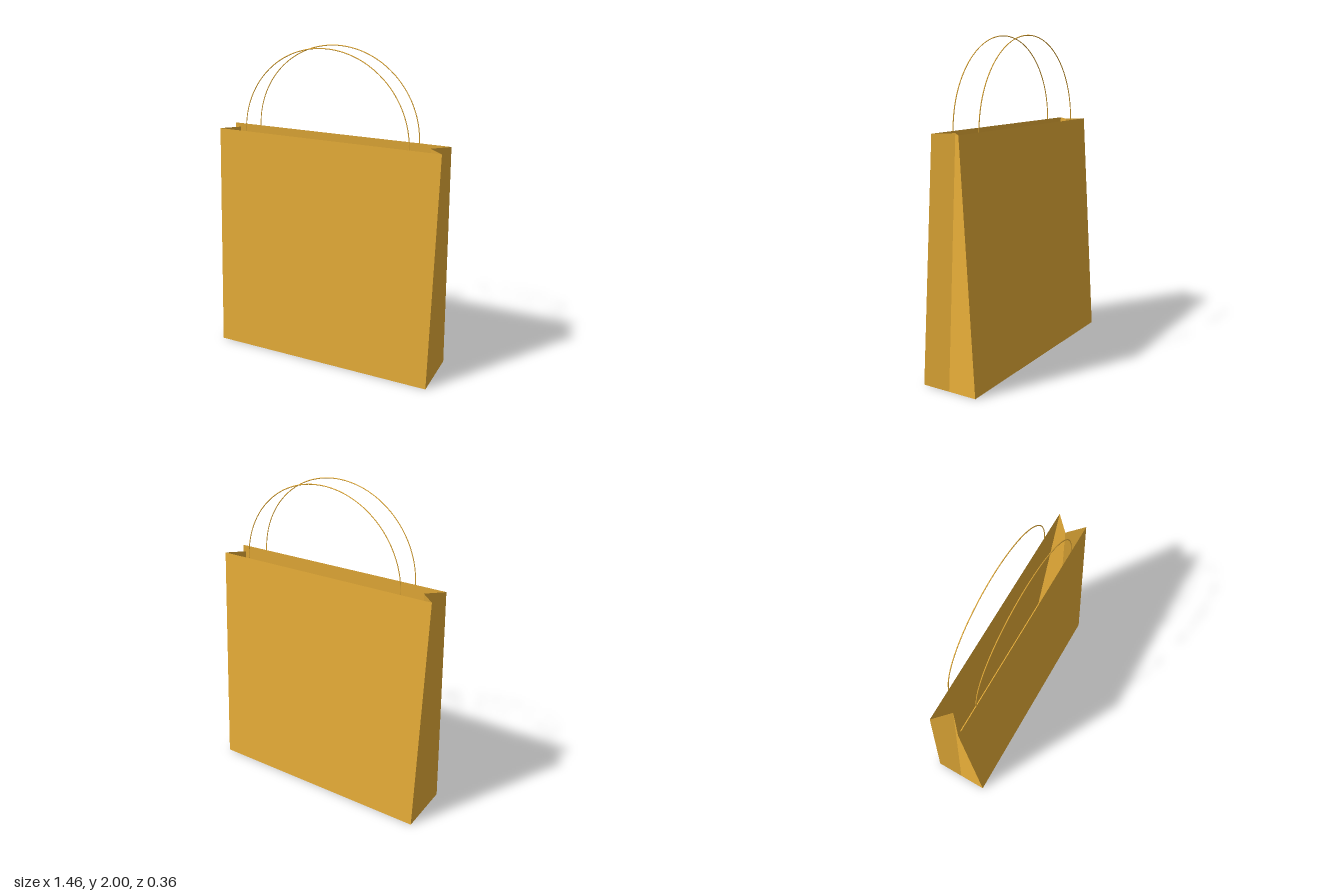
import * as THREE from 'three';

const W = 0.73, H = 1.46, BASE = 0.18, MOUTH = 0.09, FOLD = 0.635;

// Flat-shaded paper panel from four corners, counter-clockwise from outside, folded along a-c
function panel(name, material, a, b, c, d) {
  const [A, B, C, D] = [a, b, c, d].map((p) => new THREE.Vector3(...p));
  const n = C.clone().sub(A).cross(D.clone().sub(B)).normalize();
  const g = new THREE.BufferGeometry().setFromPoints([A, B, C, D]);
  g.setAttribute('normal', new THREE.Float32BufferAttribute([n, n, n, n].flatMap((v) => v.toArray()), 3));
  g.setIndex([0, 1, 2, 0, 2, 3]);
  const mesh = new THREE.Mesh(g, material);
  mesh.name = name;
  return mesh;
}

export function createModel() {
  const bag = new THREE.Group();
  bag.name = 'paperBag';
  const paper = new THREE.MeshStandardMaterial({ color: 0xe8ae38, side: THREE.DoubleSide });

  // Gusset fold line: bottom middle and pinched top
  const mid = [W, 0, 0], pinch = [FOLD, H, 0];

  // One half of the bag, repeated by a half turn about y
  ['front', 'back'].forEach((side, i) => {
    const half = new THREE.Group();
    half.name = side + 'Half';

    half.add(panel(side + 'Panel', paper,
      [-W, 0, BASE], [W, 0, BASE], [W, H, MOUTH], [-W, H, MOUTH]));

    // Side gusset, folded inwards towards the mouth
    half.add(panel('gussetNearFold', paper, mid, pinch, [W, H, MOUTH], [W, 0, BASE]));
    half.add(panel('gussetFarFold', paper, [W, 0, -BASE], [W, H, -MOUTH], pinch, mid));

    // Thin semicircular cord handle
    const handle = new THREE.Mesh(new THREE.TorusGeometry(0.537, 0.003, 6, 64, Math.PI), paper);
    handle.name = side + 'Handle';
    handle.position.set(0, H, MOUTH - 0.002);
    half.add(handle);

    half.rotation.y = i * Math.PI;
    bag.add(half);
  });

  bag.add(panel('bottom', paper,
    [-W, 0, -BASE], [W, 0, -BASE], [W, 0, BASE], [-W, 0, BASE]));
  return bag;
}
